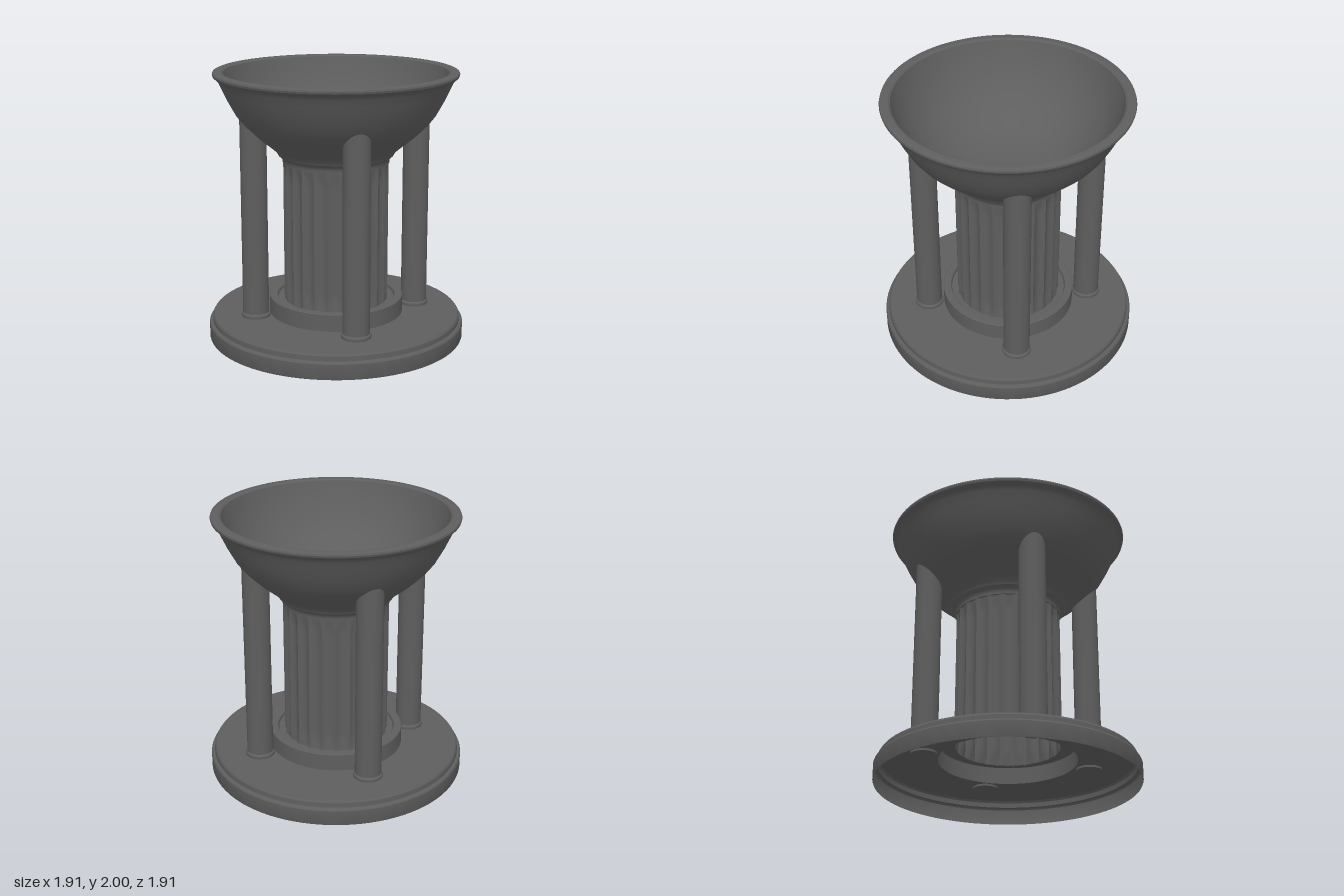
import * as THREE from 'three';
import { toCreasedNormals } from 'three/addons/utils/BufferGeometryUtils.js';

const material = new THREE.MeshStandardMaterial({ color: 0x5e5e5e, side: THREE.DoubleSide });

function makeMesh(name, geometry) {
  const mesh = new THREE.Mesh(toCreasedNormals(geometry, 0.5), material);
  mesh.name = name;
  return mesh;
}

function lathe(profile, segments = 72) {
  return new THREE.LatheGeometry(profile.map(([r, y]) => new THREE.Vector2(r, y)), segments);
}

// Outer bowl wall, from the foot to the flare under the rim
const bowlWall = [
  [0.425, 1.385], [0.437, 1.41], [0.48, 1.448], [0.53, 1.488], [0.58, 1.528], [0.63, 1.575],
  [0.68, 1.625], [0.73, 1.69], [0.785, 1.79], [0.82, 1.865], [0.845, 1.92], [0.86, 1.945],
];

// Height of the outer bowl wall at a given radius
function bowlHeight(r) {
  const i = bowlWall.findIndex(([radius]) => radius >= r);
  const [r0, y0] = bowlWall[i - 1], [r1, y1] = bowlWall[i];
  return y0 + ((y1 - y0) * (r - r0)) / (r1 - r0);
}

// Fluted hollow shaft: a lathe whose radius dips in each flute and fades at the ends
function flutedShaft(radius, y0, y1, flutes, depth) {
  const rows = [0, 0.02, 0.05, 0.09, 0.13, 0.5, 0.87, 0.91, 0.95, 0.98, 1];
  const geometry = lathe(rows.map((t) => [radius, y0 + (y1 - y0) * t]), flutes * 8);
  const p = geometry.attributes.position;
  for (let i = 0; i < p.count; i++) {
    const x = p.getX(i), z = p.getZ(i);
    const t = (p.getY(i) - y0) / (y1 - y0);
    const fade = Math.min(1, Math.min(t, 1 - t) / 0.09);
    const wave = Math.abs(Math.cos((Math.atan2(x, z) * flutes) / 2));
    const k = 1 - (depth * wave * (0.35 + 0.65 * fade)) / radius;
    p.setX(i, x * k);
    p.setZ(i, z * k);
  }
  return geometry;
}

// Post whose top is trimmed to the underside of the bowl
function postGeometry(cx, cz) {
  const bottom = 0.165, radius = 0.097;
  const geometry = new THREE.CylinderGeometry(radius, radius, 1, 32, 1);
  geometry.translate(cx, 0.5, cz);
  const p = geometry.attributes.position;
  for (let i = 0; i < p.count; i++) {
    const top = bowlHeight(Math.hypot(p.getX(i), p.getZ(i))) + 0.005;
    p.setY(i, p.getY(i) > 0.5 ? top : bottom);
  }
  return geometry;
}

export function createModel() {
  const model = new THREE.Group();
  model.name = 'pedestalBowl';

  // Stepped base, hollow underneath, rising into the ring around the shaft
  model.add(makeMesh('base', lathe([
    [0.951, 0], [0.955, 0.01], [0.955, 0.115], [0.947, 0.127], [0.93, 0.13],
    [0.928, 0.165], [0.918, 0.18], [0.5, 0.18], [0.5, 0.305], [0.495, 0.31],
    [0.445, 0.31], [0.44, 0.305], [0.435, 0.285], [0.375, 0.28],
  ], 96)));

  // Central column
  model.add(makeMesh('flutedColumn', flutedShaft(0.389, 0.28, 1.325, 24, 0.022)));
  model.add(makeMesh('capital', lathe([
    [0.372, 1.32], [0.392, 1.325], [0.392, 1.345], [0.402, 1.365], [0.425, 1.385],
  ])));

  // Bowl with a flared, rounded rim
  model.add(makeMesh('bowl', lathe([
    [0, 1.385], ...bowlWall,
    [0.877, 1.958], [0.888, 1.968], [0.892, 1.982], [0.888, 1.994], [0.875, 2],
    [0.83, 2], [0.815, 1.99], [0.79, 1.91], [0.745, 1.81], [0.685, 1.71], [0.61, 1.62],
    [0.52, 1.54], [0.42, 1.475], [0.3, 1.43], [0.15, 1.41], [0, 1.405],
  ], 96)));

  // Four posts with small collars, spaced by quarter turns
  for (let i = 0; i < 4; i++) {
    const angle = Math.atan2(0.31, 0.53) + (i * Math.PI) / 2;
    const cx = Math.cos(angle) * 0.614, cz = Math.sin(angle) * 0.614;
    const post = new THREE.Group();
    post.name = 'post';
    post.add(makeMesh('postShaft', postGeometry(cx, cz)));
    const collar = makeMesh('postCollar', lathe([
      [0.107, 0.18], [0.109, 0.19], [0.107, 0.202], [0.097, 0.212],
    ], 32));
    collar.position.set(cx, 0, cz);
    post.add(collar);
    model.add(post);
  }
  return model;
}
